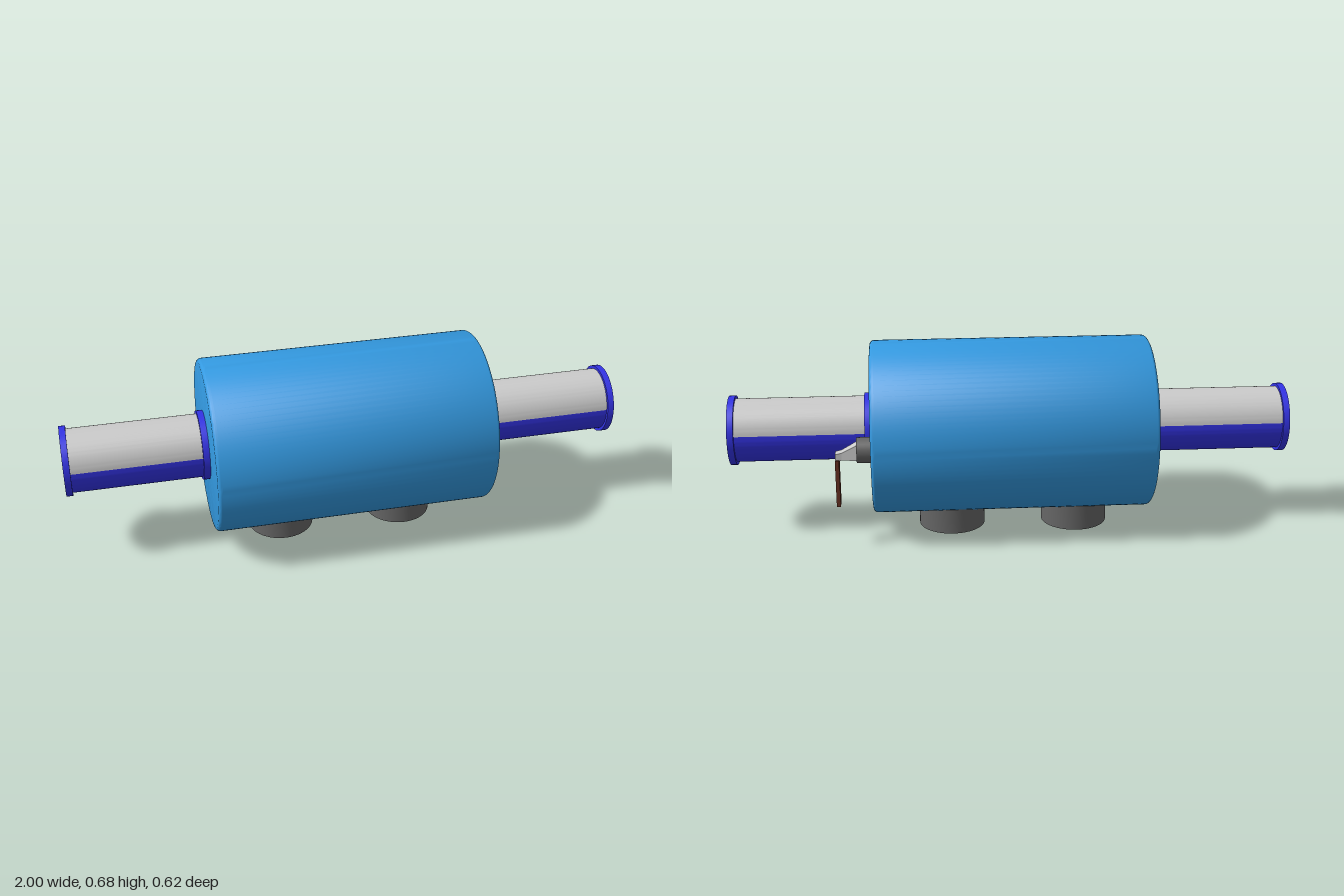
import * as THREE from 'three';
import { toCreasedNormals } from 'three/addons/utils/BufferGeometryUtils.js';

const material = (color) => new THREE.MeshStandardMaterial({ color });
const mats = {
  grey: material(0xcccccc),
  body: material(0x3399e0),
  blue: material(0x3333e6),
  dark: material(0x666666),
  brown: material(0x6b3323),
};

function add(parent, name, geometry, mat, x = 0, y = 0, z = 0) {
  const mesh = new THREE.Mesh(geometry, mat);
  mesh.name = name;
  mesh.position.set(x, y, z);
  parent.add(mesh);
  return mesh;
}

// Profile of [radius, height] pairs turned about y, with sharp corners kept
function turned(profile, segments = 64, start = 0, length = Math.PI * 2) {
  const points = profile.map(([r, h]) => new THREE.Vector2(r, h));
  return toCreasedNormals(new THREE.LatheGeometry(points, segments, start, length), 0.6);
}

// Hollow ring or partial shell standing from h0 to h1
const ring = (ro, ri, h0, h1, start, length) =>
  turned([[ro, h0], [ro, h1], [ri, h1], [ri, h0], [ro, h0]], 48, start, length);

// Lays a turned part along x
const alongX = (geometry) => geometry.rotateZ(-Math.PI / 2);

// Solid through rectangular sections [x, yBottom, yTop, halfWidth]
function loft(sections) {
  const pos = [];
  const corners = ([x, y0, y1, w]) => [[x, y0, w], [x, y0, -w], [x, y1, -w], [x, y1, w]];
  const quad = (a, b, c, d) => pos.push(...a, ...b, ...c, ...a, ...c, ...d);
  const rings = sections.map(corners);
  for (let i = 0; i < rings.length - 1; i++) {
    const a = rings[i], b = rings[i + 1];
    for (let k = 0; k < 4; k++) {
      const n = (k + 1) % 4;
      quad(a[k], a[n], b[n], b[k]);
    }
  }
  const first = rings[0], last = rings[rings.length - 1];
  quad(first[3], first[2], first[1], first[0]);
  quad(last[0], last[1], last[2], last[3]);
  const geometry = new THREE.BufferGeometry();
  geometry.setAttribute('position', new THREE.Float32BufferAttribute(pos, 3));
  geometry.computeVertexNormals();
  return geometry;
}

export function createModel() {
  const model = new THREE.Group();
  model.name = 'tank';
  const axisY = 0.373, pipeZ = -0.005;

  // Main drum with rounded rims
  const R = 0.31, half = 0.498, bevel = 0.016;
  const profile = [[0, -half]];
  for (const side of [-1, 1]) {
    for (let i = 0; i <= 5; i++) {
      const a = (side < 0 ? i - 5 : i) / 5 * Math.PI / 2;
      profile.push([R - bevel + bevel * Math.cos(a), side * (half - bevel) + bevel * Math.sin(a)]);
    }
  }
  profile.push([0, half]);
  add(model, 'drum', alongX(turned(profile, 96)), mats.body, 0, axisY, 0);

  // Open pipes at both ends: two-colour shells between flanges
  const split = 0.11;
  for (const [side, label] of [[1, 'left'], [-1, 'right']]) {
    const pipe = new THREE.Group();
    pipe.name = label + 'Pipe';
    pipe.position.set(0, axisY, pipeZ);
    const span = (a, b) => (side > 0 ? [a, b] : [-b, -a]);
    const [s0, s1] = span(0.497, 0.995);
    add(pipe, 'lowerShell',
      alongX(ring(0.113, 0.095, s0, s1, -split, Math.PI + 2 * split)), mats.blue);
    add(pipe, 'upperShell',
      alongX(ring(0.113, 0.095, s0, s1, Math.PI + split, Math.PI - 2 * split)), mats.grey);
    for (const [name, a, b] of [['innerFlange', 0.495, 0.521], ['outerFlange', 0.977, 1]]) {
      add(pipe, name, alongX(ring(0.124, 0.0945, ...span(a, b))), mats.blue);
    }
    model.add(pipe);
  }

  // Hollow round feet
  for (const [name, x] of [['rightFoot', -0.235], ['leftFoot', 0.214]]) {
    add(model, name, ring(0.119, 0.099, 0, 0.11), mats.dark, x, 0, -0.013);
  }

  // Valve: round boss, tapered stem and hanging lever
  const valve = new THREE.Group();
  valve.name = 'valve';
  valve.position.z = -0.193;
  add(valve, 'boss', alongX(new THREE.CylinderGeometry(0.045, 0.045, 0.055, 32)),
    mats.dark, 0.52, 0.353, 0);
  add(valve, 'stem', loft([
    [0.54, 0.323, 0.382, 0.026],
    [0.6, 0.323, 0.35, 0.018],
    [0.622, 0.318, 0.345, 0.018],
    [0.623, 0.318, 0.324, 0.026],
  ]), mats.grey);
  add(valve, 'lever', new THREE.BoxGeometry(0.014, 0.17, 0.052), mats.brown, 0.616, 0.238, 0);
  model.add(valve);

  return model;
}
